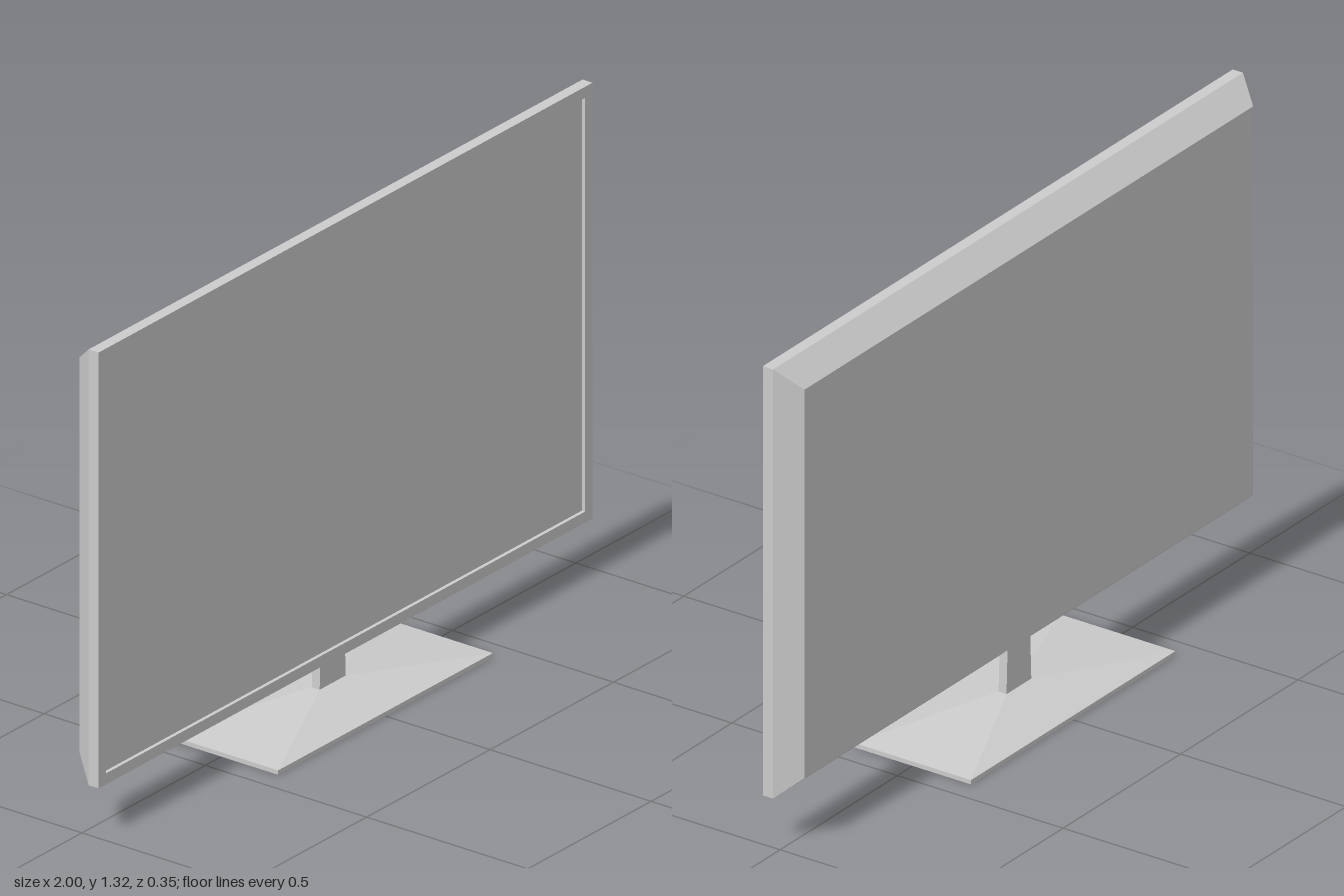
import * as THREE from 'three';

const material = new THREE.MeshStandardMaterial({ color: 0xcccccc, flatShading: true });

function addMesh(group, name, geometry, x = 0, y = 0, z = 0) {
  const mesh = new THREE.Mesh(geometry, material);
  mesh.name = name;
  mesh.position.set(x, y, z);
  group.add(mesh);
  return mesh;
}

// Box standing on y = 0 whose top face is resized to topW x topD
function taperedBox(w, d, h, topW, topD) {
  const geometry = new THREE.BoxGeometry(w, h, d).translate(0, h / 2, 0);
  const p = geometry.attributes.position;
  for (let i = 0; i < p.count; i++) {
    if (p.getY(i) > h / 2) {
      p.setX(i, Math.sign(p.getX(i)) * topW / 2);
      p.setZ(i, Math.sign(p.getZ(i)) * topD / 2);
    }
  }
  geometry.computeVertexNormals();
  return geometry;
}

function rectangle(path, w, h) {
  path.moveTo(-w / 2, -h / 2);
  path.lineTo(w / 2, -h / 2);
  path.lineTo(w / 2, h / 2);
  path.lineTo(-w / 2, h / 2);
  path.closePath();
  return path;
}

export function createModel() {
  const group = new THREE.Group();
  group.name = 'flatScreenDisplay';

  const W = 2, H = 1.182, midY = 0.726;
  const seamZ = 0.021, frontZ = 0.052, backZ = -0.042;
  const bezel = 0.03, recess = 0.01;

  // Front frame with an opening for the screen
  const outline = rectangle(new THREE.Shape(), W, H);
  outline.holes.push(rectangle(new THREE.Path(), W - 2 * bezel, H - 2 * bezel));
  const frame = new THREE.ExtrudeGeometry(outline, { depth: frontZ - seamZ, bevelEnabled: false });
  addMesh(group, 'bezel', frame, 0, midY, seamZ);

  // Slightly recessed screen
  const screenDepth = frontZ - seamZ - recess;
  addMesh(group, 'screen', new THREE.BoxGeometry(W - 2 * bezel, H - 2 * bezel, screenDepth),
    0, midY, seamZ + screenDepth / 2);

  // Back shell with sloping edges
  const shell = taperedBox(W, H, seamZ - backZ, 1.91, 1.07).rotateX(-Math.PI / 2);
  addMesh(group, 'backShell', shell, 0, midY, seamZ);

  // Stand: neck, sloped base top and thin base plate
  addMesh(group, 'neck', taperedBox(0.106, 0.024, 0.16, 0.094, 0.024), 0, 0.04, 0);
  addMesh(group, 'baseTop', taperedBox(0.87, 0.352, 0.033, 0.106, 0.026), 0, 0.012, 0);
  addMesh(group, 'basePlate', new THREE.BoxGeometry(0.87, 0.012, 0.352), 0, 0.006, 0);

  // Turn the shell so that its narrow face points backwards
  group.getObjectByName('backShell').geometry.computeVertexNormals();
  return group;
}
